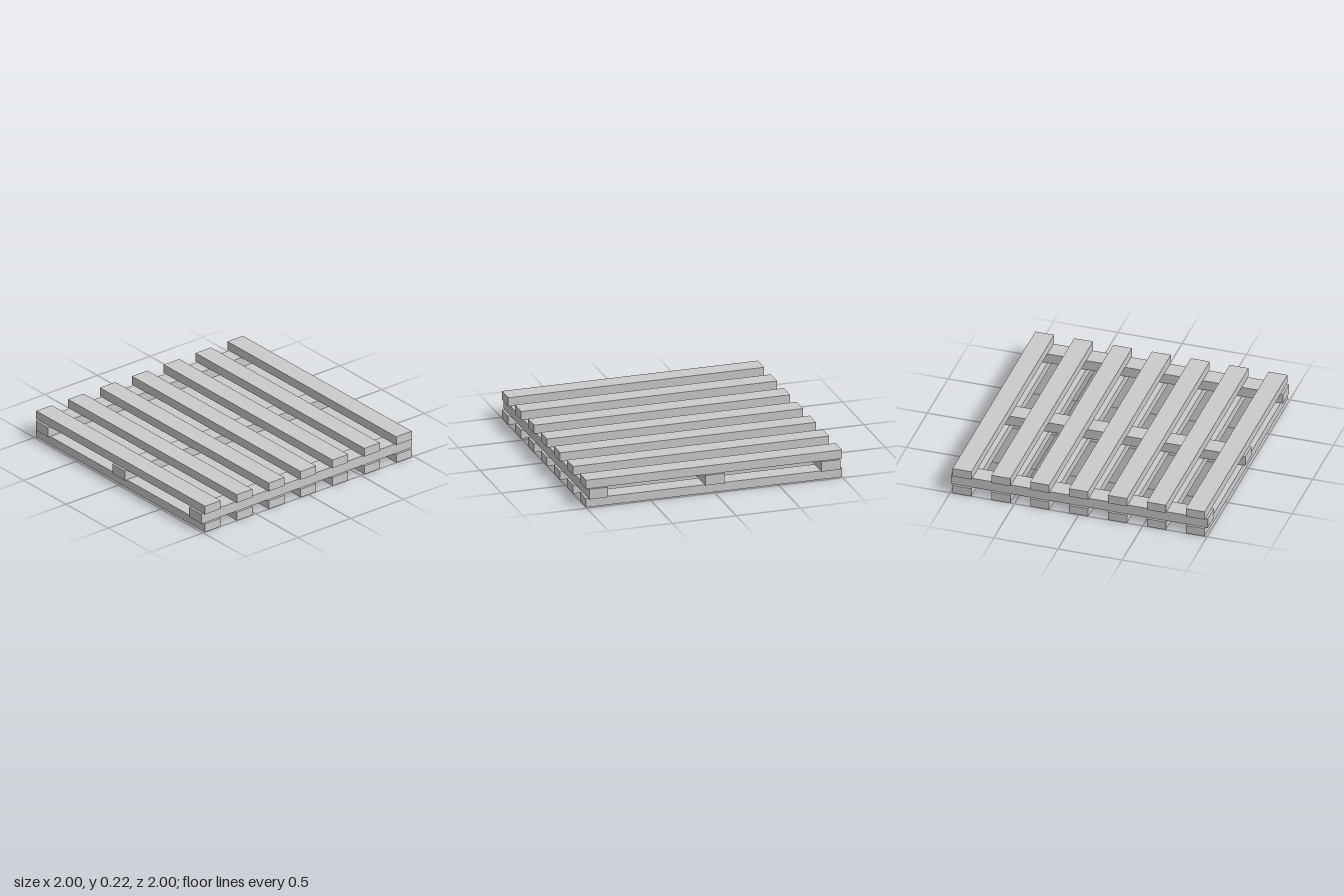
import * as THREE from 'three';

export function createModel() {
  const group = new THREE.Group();
  const material = new THREE.MeshStandardMaterial({ color: 0xcccccc, flatShading: true });

  const length = 2, width = 0.147;
  const slatHeight = 0.068, stringerHeight = 0.079;
  const reach = 0.908; // centre of the outermost boards

  const slat = new THREE.BoxGeometry(length, slatHeight, width);
  const stringer = new THREE.BoxGeometry(width, stringerHeight, length);

  function add(name, geometry, x, y, z) {
    const mesh = new THREE.Mesh(geometry, material);
    mesh.name = name;
    mesh.position.set(x, y, z);
    group.add(mesh);
  }

  // Bottom and top decks of seven slats each
  const topY = slatHeight + stringerHeight + slatHeight / 2;
  for (let i = 0; i < 7; i++) {
    const z = -reach + (i * 2 * reach) / 6;
    add(`bottomSlat${i + 1}`, slat, 0, slatHeight / 2, z);
    add(`topSlat${i + 1}`, slat, 0, topY, z);
  }

  // Three stringers running front to back between the decks
  const stringers = [['rightStringer', -reach], ['middleStringer', 0], ['leftStringer', reach]];
  for (const [name, x] of stringers) {
    add(name, stringer, x, slatHeight + stringerHeight / 2, 0);
  }

  return group;
}
